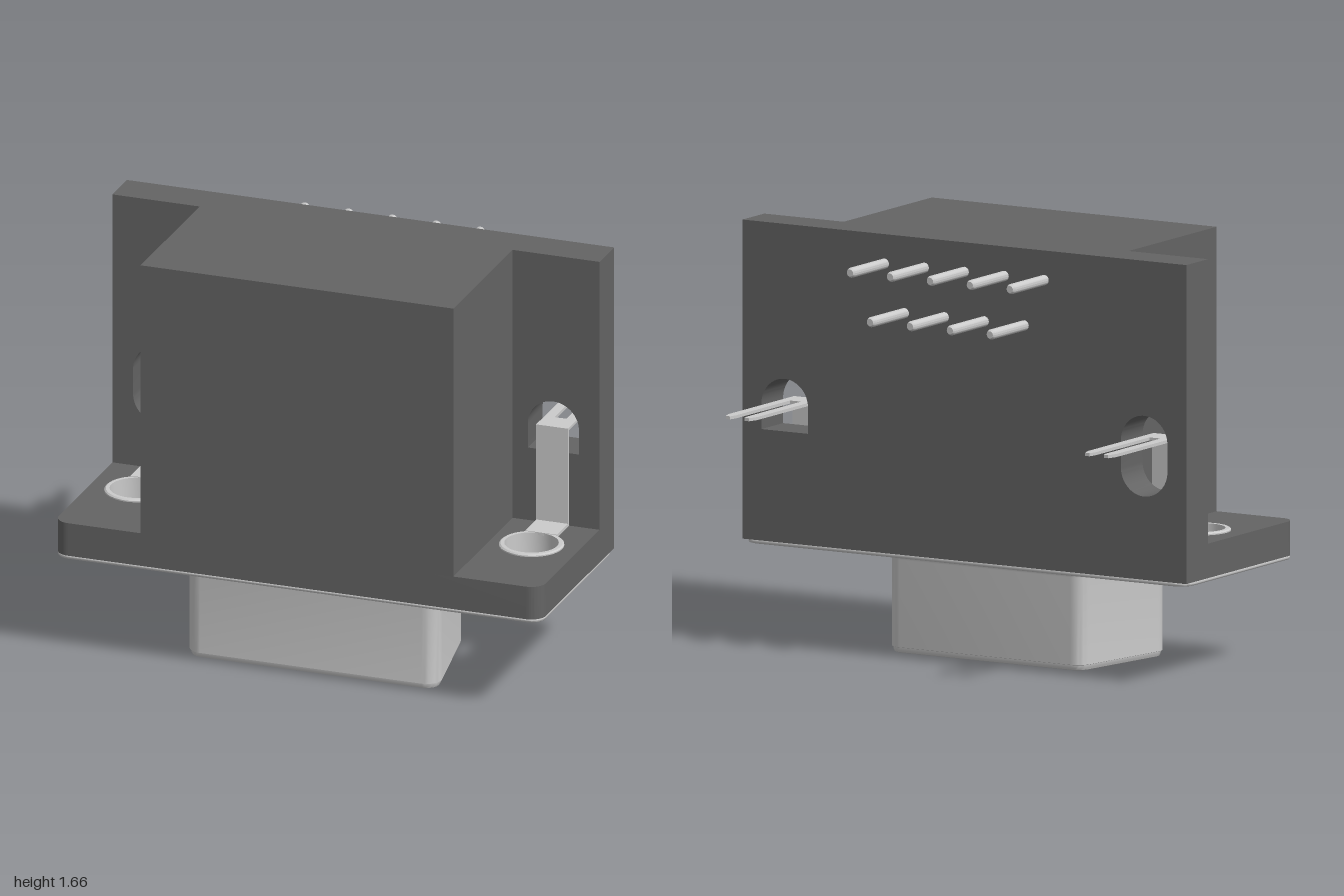
import * as THREE from 'three';
import { toCreasedNormals } from 'three/addons/utils/BufferGeometryUtils.js';

const metal = new THREE.MeshStandardMaterial({ color: 0xcccccc, side: THREE.DoubleSide });
const plastic = new THREE.MeshStandardMaterial({ color: 0x646464 });
const HOLE_X = 0.81, HOLE_Z = 0.17, HOLE_R = 0.105;

// Rounded outline in plan (x, -z), counterclockwise, from corner centres and a radius
function outline(centres, r, steps = 8) {
  const c = centres.map(([x, z]) => new THREE.Vector2(x, -z)), n = c.length, pts = [];
  c.forEach((p, i) => {
    const dIn = p.clone().sub(c[(i + n - 1) % n]), dOut = c[(i + 1) % n].clone().sub(p);
    const a = Math.atan2(dIn.y, dIn.x) - Math.PI / 2;
    let turn = Math.atan2(dOut.y, dOut.x) - Math.PI / 2 - a;
    if (turn < 0) turn += Math.PI * 2;
    for (let k = 0; k <= steps; k++) {
      const t = a + turn * k / steps;
      pts.push(new THREE.Vector2(p.x + r * Math.cos(t), p.y + r * Math.sin(t)));
    }
  });
  return pts;
}

function addHole(shape, x, y, r) {
  const hole = new THREE.Path();
  hole.absarc(x, y, r, 0, Math.PI * 2, true);
  shape.holes.push(hole);
}

// Extrude a plan shape upward from y0 to y1
function plan(shape, y0, y1, opts = {}) {
  const b = opts.bevelThickness || 0;
  const g = new THREE.ExtrudeGeometry(shape, { depth: y1 - y0 - 2 * b, bevelEnabled: false, curveSegments: 20, ...opts });
  g.rotateX(-Math.PI / 2).translate(0, y0 + b, 0);
  return toCreasedNormals(g, 0.6);
}

// Box from its limits
function box(x0, x1, y0, y1, z0, z1) {
  return new THREE.BoxGeometry(x1 - x0, y1 - y0, z1 - z0)
    .translate((x0 + x1) / 2, (y0 + y1) / 2, (z0 + z1) / 2);
}

// Loft of the same rounded outline through rows of [offset, y], top to bottom
function loft(centres, r, rows) {
  const pos = [], idx = [];
  let n = 0;
  rows.forEach(([o, y]) => {
    const pts = outline(centres, r + o);
    n = pts.length;
    pts.forEach(p => pos.push(p.x, y, -p.y));
  });
  for (let i = 0; i < rows.length - 1; i++) for (let j = 0; j < n; j++) {
    const a = i * n + j, b = i * n + (j + 1) % n;
    idx.push(a, a + n, b, a + n, b + n, b);
  }
  const g = new THREE.BufferGeometry();
  g.setAttribute('position', new THREE.Float32BufferAttribute(pos, 3));
  g.setIndex(idx);
  return toCreasedNormals(g, 0.6);
}

export function createModel() {
  const group = new THREE.Group();
  const add = (name, geo, mat, parent = group) => {
    const m = new THREE.Mesh(geo, mat);
    m.name = name;
    parent.add(m);
    return m;
  };

  // Back wall with an oblong slot on the right and an arched slot on the left
  const wall = new THREE.Shape([[-1, 0.415], [1, 0.415], [1, 1.66], [-1, 1.66]].map(p => new THREE.Vector2(...p)));
  const oblong = new THREE.Path();
  oblong.absarc(-HOLE_X, 0.95, 0.105, 0, Math.PI, false);
  oblong.absarc(-HOLE_X, 0.845, 0.105, Math.PI, Math.PI * 2, false);
  oblong.closePath();
  const arch = new THREE.Path();
  arch.absarc(HOLE_X, 0.95, 0.105, 0, Math.PI, false);
  arch.lineTo(HOLE_X - 0.105, 0.85);
  arch.lineTo(HOLE_X + 0.105, 0.85);
  arch.closePath();
  wall.holes.push(oblong, arch);
  const wallGeo = new THREE.ExtrudeGeometry(wall, { depth: 0.16, bevelEnabled: false, curveSegments: 20 });
  add('backWall', toCreasedNormals(wallGeo.translate(0, 0, -0.23), 0.6), plastic);

  // Central housing block
  add('housingBlock', box(-0.642, 0.642, 0.55, 1.66, -0.07, 0.58), plastic);

  // Flange with rounded front corners and two screw holes
  const flange = new THREE.Shape();
  flange.moveTo(1, 0.07);
  flange.lineTo(-1, 0.07);
  flange.absarc(-0.94, -0.52, 0.06, Math.PI, Math.PI * 1.5, false);
  flange.absarc(0.94, -0.52, 0.06, -Math.PI / 2, 0, false);
  flange.closePath();
  [-1, 1].forEach(s => addHole(flange, s * HOLE_X, -HOLE_Z, HOLE_R + 0.01));
  add('flange', plan(flange, 0.415, 0.55), plastic);

  // Metal face plate under the flange
  const plateCorners = [[-0.94, 0.52], [0.94, 0.52], [0.94, -0.17], [-0.94, -0.17]];
  const plate = new THREE.Shape(outline(plateCorners, 0.06));
  [-1, 1].forEach(s => addHole(plate, s * HOLE_X, -HOLE_Z, HOLE_R));
  add('facePlate', plan(plate, 0.4, 0.42,
    { bevelEnabled: true, bevelThickness: 0.008, bevelSize: 0.008, bevelOffset: -0.008, bevelSegments: 3 }), metal);

  // D-shaped shell, flared into the plate and rounded at its lip
  const R = 0.06;
  const dCorners = [[-0.455, 0.37], [0.455, 0.37], [0.385, -0.02], [-0.385, -0.02]];
  const rows = [];
  for (let k = 0; k <= 6; k++) {
    const t = k / 6 * Math.PI / 2;
    rows.push([0.035 * (1 - Math.sin(t)), 0.365 + 0.035 * Math.cos(t)]);
  }
  rows.push([0, 0.024], [-0.005, 0.022], [-0.007, 0.01], [-0.011, 0.003], [-0.018, 0]);
  add('shell', loft(dCorners, R, rows), metal);

  // Mating face with five front and four rear sockets
  const face = new THREE.Shape(outline(dCorners, R - 0.018));
  for (let i = 0; i < 9; i++) addHole(face, -0.36 + i * 0.09, i % 2 ? -0.083 : -0.267, 0.024);
  add('socketFace', plan(face, 0, 0.41), metal);

  // Two staggered rows of contact pins
  const pinProfile = [[0, 0], [0.014, 0], [0.02, 0.01], [0.02, 0.285]].map(p => new THREE.Vector2(...p));
  const pinGeo = toCreasedNormals(new THREE.LatheGeometry(pinProfile, 16).rotateX(Math.PI / 2), 0.6);
  for (let i = 0; i < 9; i++) {
    add('contactPin', pinGeo, metal).position.set(-0.36 + i * 0.09, i % 2 ? 1.36 : 1.545, -0.485);
  }

  // Mounting clips: eyelet, foot, upright strip and forked board lock
  const eyeletProfile = [[0.105, 0.41], [0.115, 0.41], [0.115, 0.551], [0.126, 0.551], [0.126, 0.556], [0.12, 0.561], [0.105, 0.561], [0.105, 0.41]];
  const eyeletGeo = toCreasedNormals(new THREE.LatheGeometry(eyeletProfile.map(p => new THREE.Vector2(...p)), 40), 0.6);
  const half = [[0.025, 0.15], [0.025, 0.55], [0.032, 0.58], [0.052, 0.58], [0.065, 0.54], [0.065, 0.056]];
  const forkPts = [...half, ...half.map(([x, y]) => [-x, y]).reverse()].map(p => new THREE.Vector2(...p));
  const forkGeo = plan(new THREE.Shape(forkPts), 0.945, 0.957);
  [-1, 1].forEach(s => {
    const clip = new THREE.Group();
    clip.name = s > 0 ? 'leftClip' : 'rightClip';
    clip.position.x = s * HOLE_X;
    group.add(clip);
    add('eyelet', eyeletGeo, metal, clip).position.z = HOLE_Z;
    add('clipFoot', box(-0.065, 0.065, 0.551, 0.563, -0.067, 0.066), metal, clip);
    add('clipUpright', box(-0.065, 0.065, 0.555, 0.957, -0.067, -0.055), metal, clip);
    add('boardLock', forkGeo, metal, clip);
  });

  return group;
}
